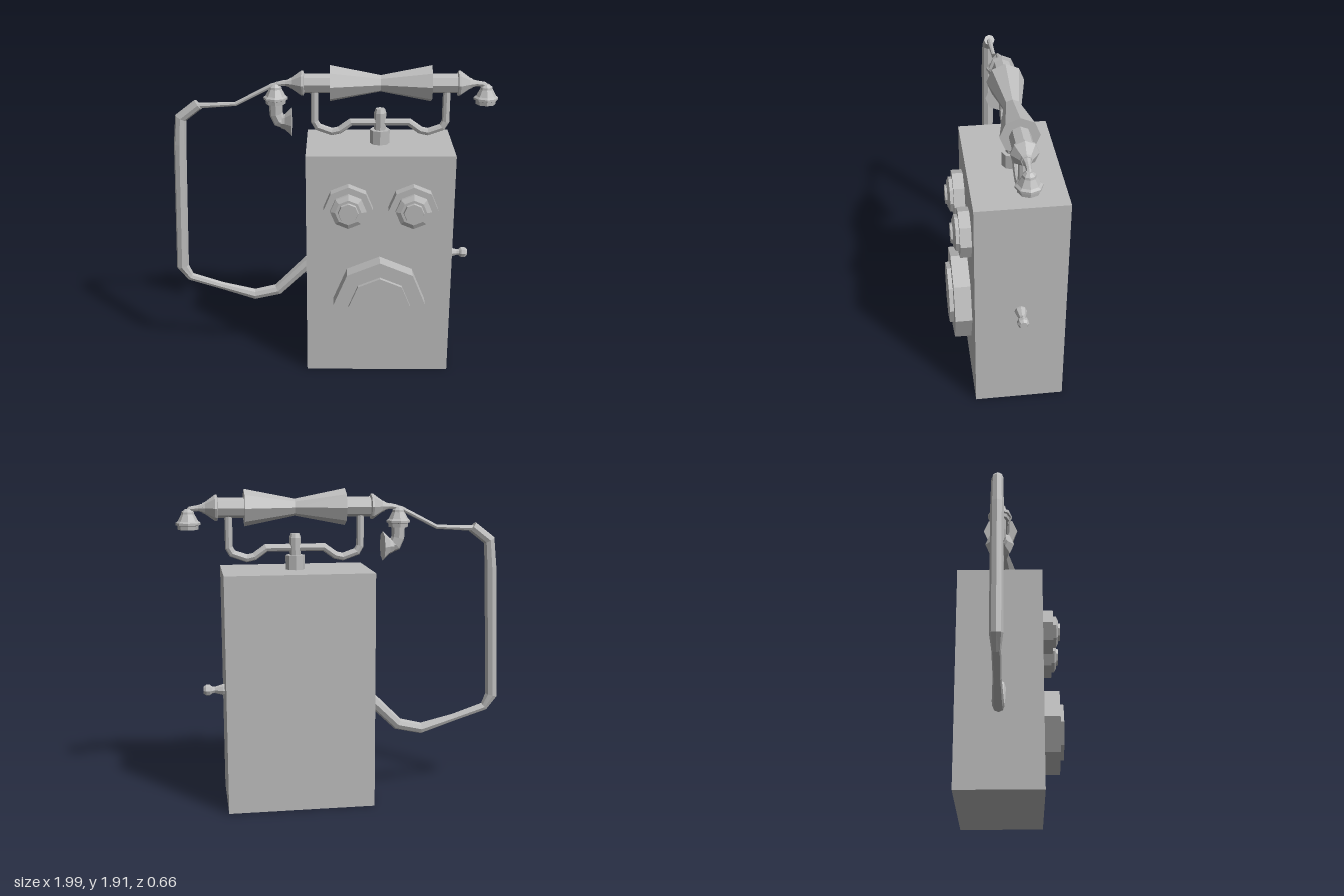
import * as THREE from 'three';

const CX = 0.29;   // centre line of the cabinet
const AZ = -0.06;  // depth of the handset, cradle, cord and crank

const gray = new THREE.MeshStandardMaterial({ color: 0xbcbcbc });
gray.name = 'plain gray';

// Faceted mesh with one normal per face
function part(name, geometry, parent) {
  const flat = geometry.index ? geometry.toNonIndexed() : geometry;
  flat.computeVertexNormals();
  const mesh = new THREE.Mesh(flat, gray);
  mesh.name = name;
  parent.add(mesh);
  return mesh;
}

// Eight-sided turned shape from [radius, height] pairs, closed at both ends
function turned(profile) {
  const pts = [[0, profile[0][0 + 1]], ...profile, [0, profile[profile.length - 1][1]]];
  return new THREE.LatheGeometry(pts.map(([r, y]) => new THREE.Vector2(r, y)), 8);
}

// Mitred tube through [x, y, radius] stations at depth AZ
function sweep(stations, sides = 8) {
  const p = stations.map(([x, y]) => new THREE.Vector2(x, y));
  const n = p.length, pos = [], idx = [];
  for (let i = 0; i < n; i++) {
    const before = p[i].clone().sub(p[Math.max(i - 1, 0)]).normalize();
    const after = p[Math.min(i + 1, n - 1)].clone().sub(p[i]).normalize();
    const t = before.clone().add(after).normalize();
    const mitre = 1 / Math.max(0.6, t.dot(i ? before : after));
    const r = stations[i][2];
    for (let j = 0; j < sides; j++) {
      const a = (j / sides) * Math.PI * 2;
      const c = Math.cos(a) * r * mitre;
      pos.push(p[i].x - t.y * c, p[i].y + t.x * c, AZ + Math.sin(a) * r);
    }
  }
  for (let i = 0; i < n - 1; i++) {
    for (let j = 0; j < sides; j++) {
      const k = (j + 1) % sides, a = i * sides, d = a + sides;
      idx.push(a + j, a + k, d + j, a + k, d + k, d + j);
    }
  }
  const end = (n - 1) * sides;
  for (let j = 1; j < sides - 1; j++) idx.push(0, j + 1, j, end, end + j, end + j + 1);
  const g = new THREE.BufferGeometry();
  g.setAttribute('position', new THREE.Float32BufferAttribute(pos, 3));
  g.setIndex(idx);
  return g;
}

export function createModel() {
  const model = new THREE.Group();
  model.name = 'wallTelephone';

  // Cabinet
  part('cabinet', new THREE.BoxGeometry(0.885, 1.43, 0.535), model)
    .position.set(CX - 0.002, 0.715, -0.061);

  // Large dial and two bells on the front
  const dial = turned([[0.28, 0.2], [0.28, 0.308], [0.187, 0.308], [0.187, 0.333]]);
  part('dial', dial.rotateX(Math.PI / 2), model).position.set(CX, 0.508, 0);
  for (const side of [-1, 1]) {
    const bell = turned([[0.147, 0.2], [0.147, 0.272], [0.107, 0.272], [0.107, 0.292],
      [0.078, 0.305], [0.062, 0.305], [0.058, 0.318], [0.037, 0.318]]);
    part(side < 0 ? 'rightBell' : 'leftBell', bell.rotateX(Math.PI / 2), model)
      .position.set(CX + side * 0.193, 1.113, 0);
  }

  // Crank on the side
  const crank = turned([[0.037, 0.72], [0.035, 0.74], [0.02, 0.79], [0.022, 0.805],
    [0.034, 0.82], [0.034, 0.842], [0.022, 0.857]]);
  part('crank', crank.rotateZ(-Math.PI / 2), model).position.set(0, 0.7, AZ);

  // Cradle: post and mirrored arms
  const post = turned([[0.06, 1.42], [0.06, 1.515], [0.035, 1.515], [0.037, 1.62], [0.028, 1.645]]);
  part('cradlePost', post, model).position.set(CX, 0, AZ);
  const arm = [[0.395, 1.76], [0.395, 1.565], [0.375, 1.53], [0.29, 1.5], [0.245, 1.51], [0.175, 1.56]];
  const cradle = [...arm.map(([x, y]) => [CX - x, y, 0.023]),
    ...arm.map(([x, y]) => [CX + x, y, 0.023]).reverse()];
  part('cradleArms', sweep(cradle), model);

  // Handset grip with flared ends and collars
  const half = [[0.05, 0], [0.11, 0.302], [0.06, 0.302], [0.06, 0.455], [0.077, 0.46],
    [0.077, 0.472], [0.035, 0.53], [0.03, 0.545]];
  const grip = [...half.slice(1).reverse().map(([r, y]) => [r, -y]), ...half];
  part('handsetGrip', turned(grip).rotateZ(-Math.PI / 2), model).position.set(CX, 1.8, AZ);

  // Necks and bell-shaped caps at both ends of the handset
  for (const side of [-1, 1]) {
    const prefix = side < 0 ? 'right' : 'left';
    const neck = [[0.53, 1.8, 0.03], [0.57, 1.8, 0.018], [0.615, 1.795, 0.015], [0.635, 1.77, 0.018]];
    part(prefix + 'Neck', sweep(neck.map(([x, y, r]) => [CX + side * x, y, r])), model);
    const cap = turned([[0.06, 1.675], [0.062, 1.698], [0.073, 1.702], [0.073, 1.715],
      [0.06, 1.725], [0.038, 1.765], [0.036, 1.778], [0.018, 1.795]]);
    part(prefix + 'Cap', cap, model).position.set(CX + side * 0.63, 0, AZ);
  }

  // Mouthpiece: elbow and flared horn
  part('mouthpieceElbow', sweep([[-0.34, 1.685, 0.042], [-0.338, 1.61, 0.04],
    [-0.32, 1.57, 0.04], [-0.28, 1.555, 0.04]]), model);
  const horn = turned([[0.04, -0.31], [0.05, -0.285], [0.09, -0.245]]);
  part('mouthpieceHorn', horn.rotateZ(-Math.PI / 2), model).position.set(0, 1.56, AZ);

  // Cord: thin lead, then the thick sleeve running back to the cabinet
  part('cordLead', sweep([[-0.28, 1.805, 0.016], [-0.36, 1.785, 0.014], [-0.58, 1.672, 0.013],
    [-0.83, 1.66, 0.018]]), model);
  part('cordSleeve', sweep([[-0.805, 1.67, 0.034], [-0.915, 1.585, 0.034], [-0.928, 1.42, 0.038],
    [-0.957, 0.6, 0.038], [-0.91, 0.525, 0.026], [-0.71, 0.46, 0.024], [-0.5, 0.4, 0.034],
    [-0.35, 0.435, 0.036], [-0.14, 0.64, 0.04]]), model);

  return model;
}
